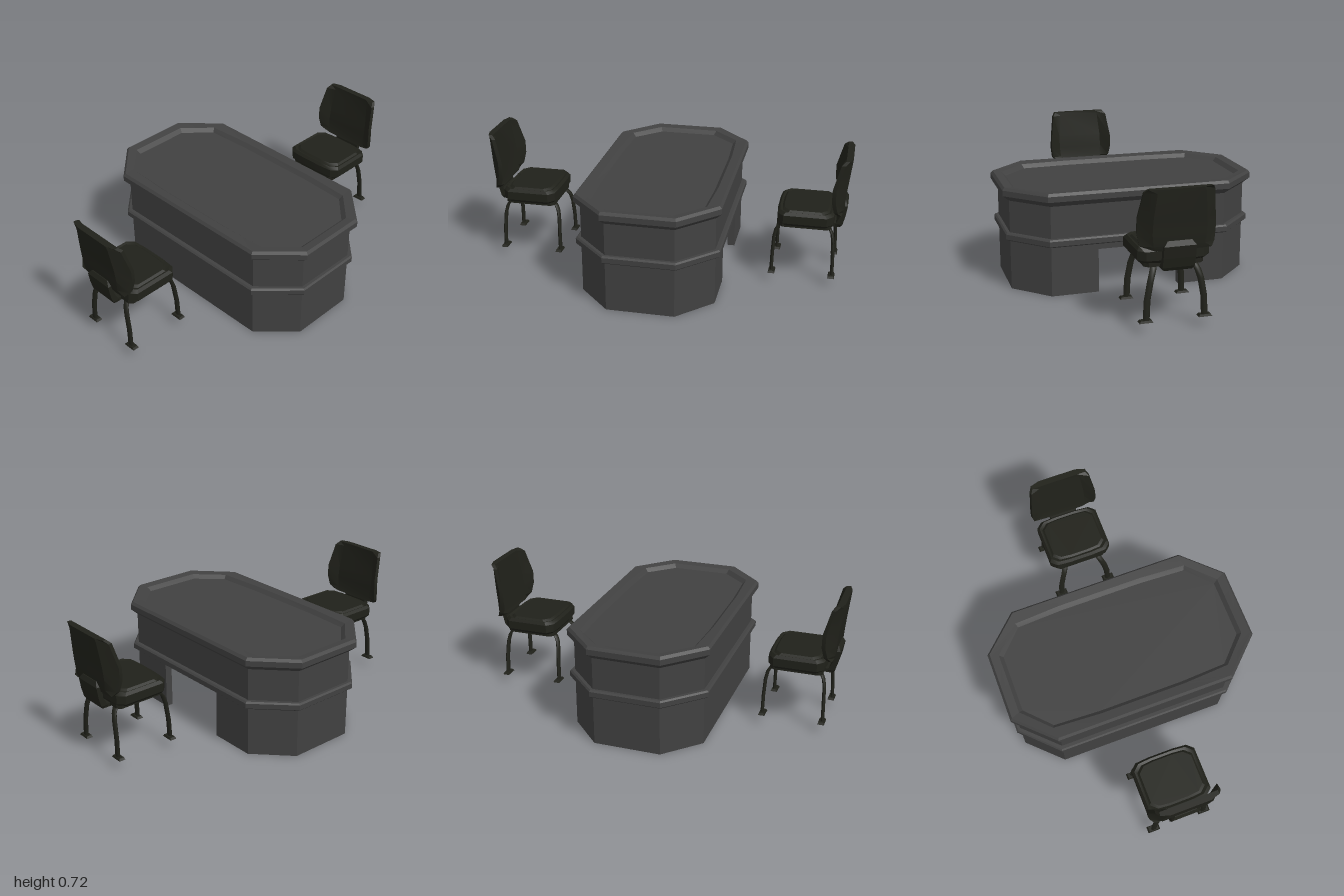
import * as THREE from 'three';
import { toCreasedNormals } from 'three/addons/utils/BufferGeometryUtils.js';

const deskMat = new THREE.MeshStandardMaterial({ color: 0x414141 });
const chairMat = new THREE.MeshStandardMaterial({ color: 0x20211a });

// Closed solid through a stack of rings of [x, y, z] points (same count each).
function loft(rings, crease = 0.1) {
  const pos = [];
  const tri = (a, b, c) => pos.push(...a, ...b, ...c);
  const n = rings[0].length;
  for (let i = 0; i < rings.length - 1; i++) {
    for (let j = 0; j < n; j++) {
      const k = (j + 1) % n;
      const [a, b, c, d] = [rings[i][j], rings[i][k], rings[i + 1][k], rings[i + 1][j]];
      tri(a, d, c);
      tri(a, c, b);
    }
  }
  const cap = (ring, up) => {
    const flat = ring.map((p) => new THREE.Vector2(p[0], p[2]));
    for (const [a, b, c] of THREE.ShapeUtils.triangulateShape(flat, [])) {
      if (up) tri(ring[a], ring[c], ring[b]);
      else tri(ring[a], ring[b], ring[c]);
    }
  };
  cap(rings[0], false);
  cap(rings[rings.length - 1], true);
  const geo = new THREE.BufferGeometry();
  geo.setAttribute('position', new THREE.Float32BufferAttribute(pos, 3));
  geo.computeVertexNormals();
  return toCreasedNormals(geo, crease);
}

function add(parent, name, geo, mat) {
  const mesh = new THREE.Mesh(geo, mat);
  mesh.name = name;
  parent.add(mesh);
  return mesh;
}

// Chamfered rectangle; the long sides have two extra points that can bow outward.
function chamferRing(y, hx, hz, cx, cz, bow = 0, ox = 0) {
  const zm = cz * 0.48;
  const half = [[hx + bow, zm], [hx, cz], [cx, hz], [-cx, hz], [-hx, cz], [-hx - bow, zm]];
  return [...half, ...half.map(([x, z]) => [-x, -z])].map(([x, z]) => [x + ox, y, z]);
}

function makeDesk() {
  const desk = new THREE.Group();
  desk.name = 'desk';

  // Base wall: a C-shaped plan, open for the knees on the +x side
  const plan = (t) => {
    const hx = 0.357 - t, hz = 0.657 - t, cx = 0.18 - t * 0.4, cz = 0.475 - t * 0.4;
    return [[hx, 0.222], [hx, cz], [cx, hz], [-cx, hz], [-hx, cz],
      [-hx, -cz], [-cx, -hz], [cx, -hz], [hx, -cz], [hx, -0.222]];
  };
  const wall = [...plan(0), ...plan(0.04).reverse()];
  add(desk, 'baseWall', loft([0, 0.28].map((y) => wall.map(([x, z]) => [x, y, z]))), deskMat);

  // Band around the middle
  add(desk, 'trimBand', loft([
    chamferRing(0.273, 0.375, 0.672, 0.188, 0.483),
    chamferRing(0.28, 0.383, 0.68, 0.19, 0.487),
    chamferRing(0.307, 0.383, 0.68, 0.19, 0.487),
    chamferRing(0.315, 0.375, 0.672, 0.188, 0.483),
  ]), deskMat);

  // Upper body
  add(desk, 'upperBody', loft([0.305, 0.5].map((y) => chamferRing(y, 0.357, 0.657, 0.18, 0.475))), deskMat);

  // Flared top with a raised rim around a shallow recess
  add(desk, 'deskTop', loft([
    chamferRing(0.488, 0.357, 0.657, 0.18, 0.475),
    chamferRing(0.518, 0.388, 0.692, 0.194, 0.492),
    chamferRing(0.548, 0.388, 0.692, 0.194, 0.492),
    chamferRing(0.562, 0.376, 0.68, 0.19, 0.488),
    chamferRing(0.556, 0.313, 0.635, 0.17, 0.495, 0.015),
    chamferRing(0.535, 0.295, 0.614, 0.16, 0.485, 0.012),
  ]), deskMat);

  desk.position.x = -0.013;
  return desk;
}

// Chair on the +x side, facing -x
function makeChair(name) {
  const chair = new THREE.Group();
  chair.name = name;
  const seatX = 0.768;

  // Cushion with a piped edge and an inset top panel
  const seatRing = (y, inset) =>
    chamferRing(y, 0.147 - inset, 0.18 - inset, 0.115 - inset, 0.145 - inset, 0.006, seatX);
  add(chair, 'seat', loft([
    seatRing(0.34, 0.012), seatRing(0.355, 0), seatRing(0.4, 0), seatRing(0.415, 0.012),
    seatRing(0.41, 0.024), seatRing(0.42, 0.034),
  ], 0.5), chairMat);
  add(chair, 'seatPlate', loft([0.322, 0.345].map((y) =>
    chamferRing(y, 0.14, 0.15, 0.12, 0.13, 0, seatX))), chairMat);

  // Backrest: wings reach forward around the sitter; [y, halfWidth, backX, wingX]
  const backRing = ([y, w, xb, xw]) => {
    const m = w * 0.68;
    return [[xb, m], [xw + 0.02, w], [xw, w * 0.98], [xb - 0.035, m],
      [xb - 0.035, -m], [xw, -w * 0.98], [xw + 0.02, -w], [xb, -m]].map(([x, z]) => [x, y, z]);
  };
  add(chair, 'backrest', loft([
    [0.415, 0.165, 0.96, 0.935], [0.44, 0.186, 0.966, 0.915], [0.5, 0.196, 0.97, 0.902],
    [0.57, 0.194, 0.977, 0.902], [0.7, 0.174, 0.993, 0.938], [0.72, 0.158, 0.995, 0.96],
  ].map(backRing), 0.5), chairMat);

  // Bracket joining the backrest to the seat; [y, frontX, backX, halfWidth]
  add(chair, 'backBracket', loft([
    [0.312, 0.925, 0.95, 0.07], [0.33, 0.925, 0.962, 0.08], [0.38, 0.95, 0.975, 0.08],
    [0.44, 0.95, 0.984, 0.08], [0.465, 0.95, 0.972, 0.06],
  ].map(([y, x0, x1, w]) => [[x1, y, -w], [x1, y, w], [x0, y, w], [x0, y, -w]])), chairMat);
  add(chair, 'bracketFoot', new THREE.BoxGeometry(0.07, 0.02, 0.15), chairMat).position.set(0.91, 0.325, 0);

  // Legs: flattened bars bowing outward, each on a small foot pad
  const sweep = (points) => loft(points.map(([x, y, z]) => Array.from({ length: 8 }, (_, i) => {
    const a = (i / 8) * Math.PI * 2;
    return [x + 0.0095 * Math.cos(a), y, z + 0.017 * Math.sin(a)];
  })), 1);
  for (const side of [1, -1]) {
    for (const [label, foot, dir] of [['frontLeg', 0.6, 1], ['backLeg', 0.927, -1]]) {
      const leg = new THREE.Group();
      leg.name = label;
      add(leg, 'legBar', sweep([
        [foot, 0.06, side * 0.147], [foot + dir * 0.002, 0.16, side * 0.143],
        [foot + dir * 0.006, 0.25, side * 0.127], [foot + dir * 0.014, 0.29, side * 0.115],
        [foot + dir * 0.028, 0.315, side * 0.105], [foot + dir * 0.048, 0.332, side * 0.1],
      ]), chairMat);
      const pad = add(leg, 'footPad', new THREE.CylinderGeometry(0.55, 0.7, 1, 4, 1, false, Math.PI / 4), chairMat);
      pad.scale.set(0.036, 0.011, 0.07);
      pad.position.set(foot + dir * 0.003, 0.06, side * 0.149);
      pad.geometry = pad.geometry.toNonIndexed();
      pad.geometry.computeVertexNormals();
      chair.add(leg);
    }
  }
  return chair;
}

export function createModel() {
  const model = new THREE.Group();
  model.name = 'deskWithChairs';
  model.add(makeDesk());
  const a = makeChair('leftChair');
  const b = makeChair('rightChair');
  b.rotation.y = Math.PI;
  model.add(a, b);
  return model;
}
